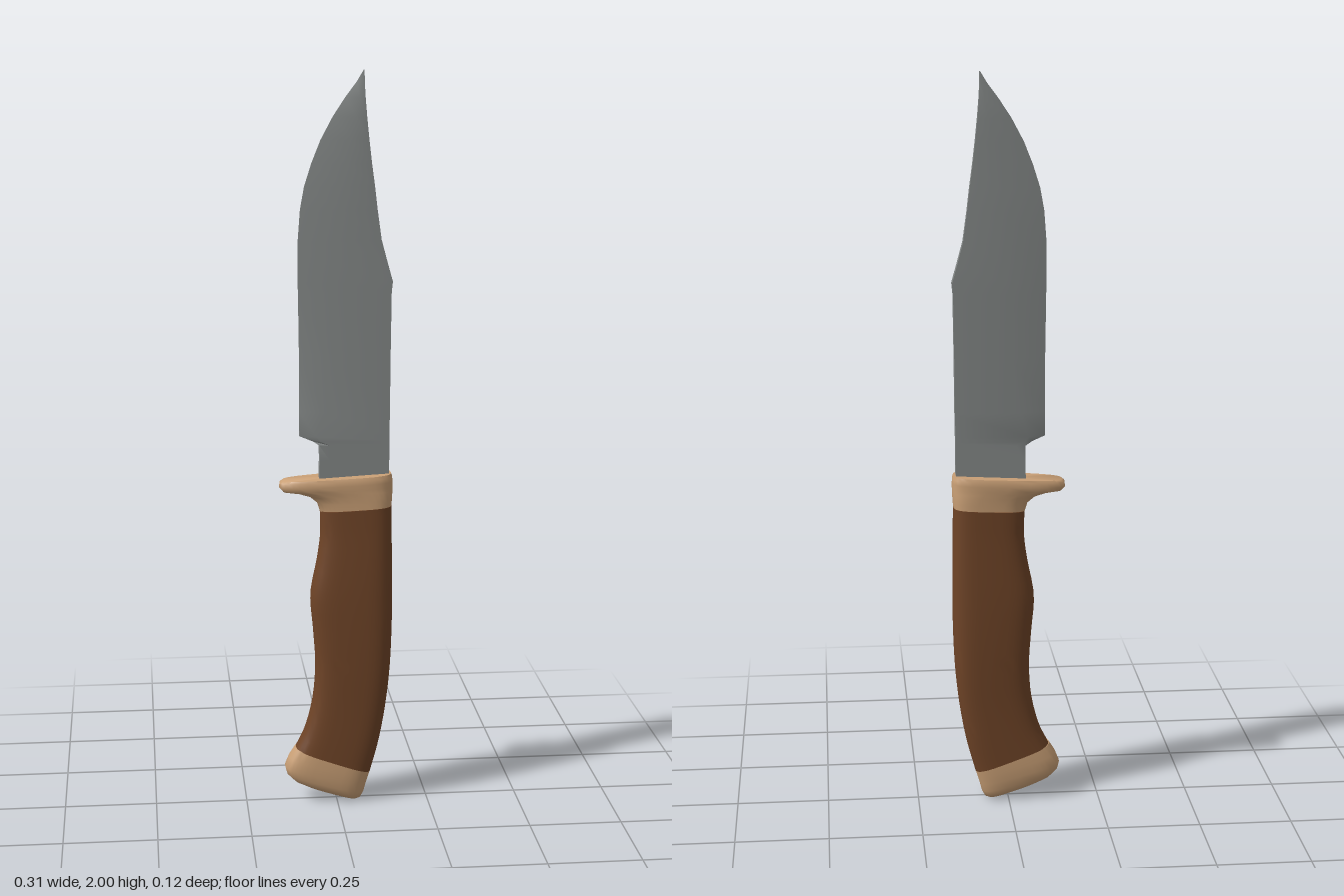
import * as THREE from 'three';
import { toCreasedNormals } from 'three/addons/utils/BufferGeometryUtils.js';

const steel = new THREE.MeshStandardMaterial({ name: 'steel', color: 0x858988 });
const wood = new THREE.MeshStandardMaterial({ name: 'brownWood', color: 0x6f4427 });
const tan = new THREE.MeshStandardMaterial({ name: 'tanFitting', color: 0xcaa076 });

// Skin a list of equal-length rings, ordered bottom to top, and cap both ends.
function loft(rings, crease) {
  const n = rings[0].length;
  const points = rings.flat();
  const index = [];
  for (let i = 0; i < rings.length - 1; i++) {
    for (let k = 0; k < n; k++) {
      const a = i * n + k, b = i * n + (k + 1) % n;
      index.push(a, b, a + n, b, b + n, a + n);
    }
  }
  for (const i of [0, rings.length - 1]) {
    const centre = new THREE.Vector3();
    rings[i].forEach((p) => centre.addScaledVector(p, 1 / n));
    const c = points.push(centre) - 1;
    for (let k = 0; k < n; k++) {
      const a = i * n + k, b = i * n + (k + 1) % n;
      if (i === 0) index.push(c, b, a);
      else index.push(c, a, b);
    }
  }
  const geometry = new THREE.BufferGeometry().setFromPoints(points);
  geometry.setIndex(index);
  return toCreasedNormals(geometry, crease);
}

// Rounded section between a cutting-side point and a spine-side point, narrower at the cutting side.
function ovalRing([xl, yl, xr, yr, half], taper, sides = 36) {
  const soften = (v, e) => Math.sign(v) * Math.pow(Math.abs(v), e);
  return Array.from({ length: sides }, (_, k) => {
    const a = (k / sides) * Math.PI * 2;
    const u = -soften(Math.cos(a), 0.6);
    const t = (u + 1) / 2;
    const z = soften(Math.sin(a), 0.6) * half * (1 - taper * (1 - t));
    return new THREE.Vector3(xl + (xr - xl) * t, yl + (yr - yl) * t, z);
  });
}

// Add in-between sections along a smooth spline.
function smooth(sections, count) {
  const left = new THREE.CatmullRomCurve3(sections.map((s) => new THREE.Vector3(s[0], s[1], s[4])));
  const right = new THREE.CatmullRomCurve3(sections.map((s) => new THREE.Vector3(s[2], s[3], 0)));
  return Array.from({ length: count + 1 }, (_, i) => {
    const l = left.getPoint(i / count), r = right.getPoint(i / count);
    return [l.x, l.y, r.x, r.y, l.z];
  });
}

function part(name, geometry, material) {
  const mesh = new THREE.Mesh(geometry, material);
  mesh.name = name;
  return mesh;
}

// Sections of the fittings and grip: xLeft, yLeft, xRight, yRight, halfDepth
const POMMEL = [
  [-0.085, 0.043, 0.055, 0.001, 0.034],
  [-0.118, 0.06, 0.066, 0.007, 0.046],
  [-0.138, 0.08, 0.074, 0.022, 0.051],
  [-0.143, 0.1, 0.08, 0.045, 0.054],
  [-0.132, 0.127, 0.087, 0.068, 0.056],
  [-0.114, 0.155, 0.092, 0.085, 0.056],
];
const GRIP = [
  [-0.113, 0.153, 0.092, 0.083, 0.056],
  [-0.088, 0.205, 0.115, 0.17, 0.058],
  [-0.066, 0.29, 0.133, 0.27, 0.06],
  [-0.058, 0.39, 0.145, 0.38, 0.063],
  [-0.064, 0.49, 0.15, 0.49, 0.064],
  [-0.071, 0.59, 0.151, 0.59, 0.063],
  [-0.053, 0.69, 0.15, 0.69, 0.06],
  [-0.044, 0.76, 0.149, 0.77, 0.057],
  [-0.045, 0.83, 0.148, 0.842, 0.055],
];
const GUARD = [
  [-0.045, 0.826, 0.147, 0.838, 0.055],
  [-0.053, 0.852, 0.149, 0.855, 0.055],
  [-0.075, 0.87, 0.15, 0.87, 0.055],
  [-0.11, 0.88, 0.151, 0.884, 0.055],
  [-0.145, 0.884, 0.151, 0.896, 0.055],
  [-0.155, 0.895, 0.151, 0.91, 0.056],
  [-0.154, 0.908, 0.15, 0.922, 0.055],
  [-0.146, 0.914, 0.147, 0.93, 0.052],
];

// Blade sections: y, edge x, bevel x, spine x, edge half depth, bevel half depth, spine half depth
const BLADE = [
  [0.91, -0.048, -0.02, 0.14, 0.016, 0.016, 0.016],
  [0.97, -0.046, -0.02, 0.141, 0.016, 0.016, 0.016],
  [1.01, -0.047, -0.02, 0.141, 0.015, 0.016, 0.016],
  [1.021, -0.065, -0.045, 0.141, 0.009, 0.016, 0.016],
  [1.034, -0.1, -0.055, 0.141, 0.001, 0.016, 0.016],
  [1.1, -0.1, -0.035, 0.142, 0.001, 0.016, 0.016],
  [1.25, -0.1, -0.01, 0.143, 0.001, 0.016, 0.016],
  [1.42, -0.102, 0, 0.145, 0.001, 0.016, 0.016],
  [1.45, -0.103, 0, 0.148, 0.001, 0.016, 0.016],
  [1.5, -0.103, 0.002, 0.134, 0.001, 0.016, 0.015],
  [1.56, -0.102, 0.006, 0.118, 0.001, 0.016, 0.014],
  [1.64, -0.096, 0.012, 0.107, 0.001, 0.016, 0.013],
  [1.7, -0.085, 0.018, 0.1, 0.001, 0.015, 0.013],
  [1.76, -0.066, 0.028, 0.092, 0.001, 0.014, 0.012],
  [1.82, -0.042, 0.04, 0.085, 0.001, 0.013, 0.012],
  [1.88, -0.01, 0.05, 0.079, 0.001, 0.012, 0.011],
  [1.93, 0.023, 0.06, 0.075, 0.001, 0.01, 0.009],
  [1.97, 0.053, 0.068, 0.073, 0.001, 0.005, 0.005],
  [2.0, 0.071, 0.072, 0.073, 0.001, 0.001, 0.001],
];

export function createModel() {
  const knife = new THREE.Group();
  knife.name = 'huntingKnife';

  // Curved grip between two pale fittings
  knife.add(part('pommel', loft(POMMEL.map((s) => ovalRing(s, 0.22)), 0.9), tan));
  knife.add(part('grip', loft(smooth(GRIP, 28).map((s) => ovalRing(s, 0.2)), 0.9), wood));
  knife.add(part('guard', loft(GUARD.map((s) => ovalRing(s, 0.28)), 0.9), tan));

  // Clip-point blade with a ground bevel and flat spine
  const bladeRings = BLADE.map(([y, xe, xb, xs, ze, zb, zs]) => [
    [xe, ze], [xb, zb], [xs, zs], [xs, -zs], [xb, -zb], [xe, -ze],
  ].map(([x, z]) => new THREE.Vector3(x, y, z)));
  knife.add(part('blade', loft(bladeRings, 0.45), steel));

  return knife;
}
